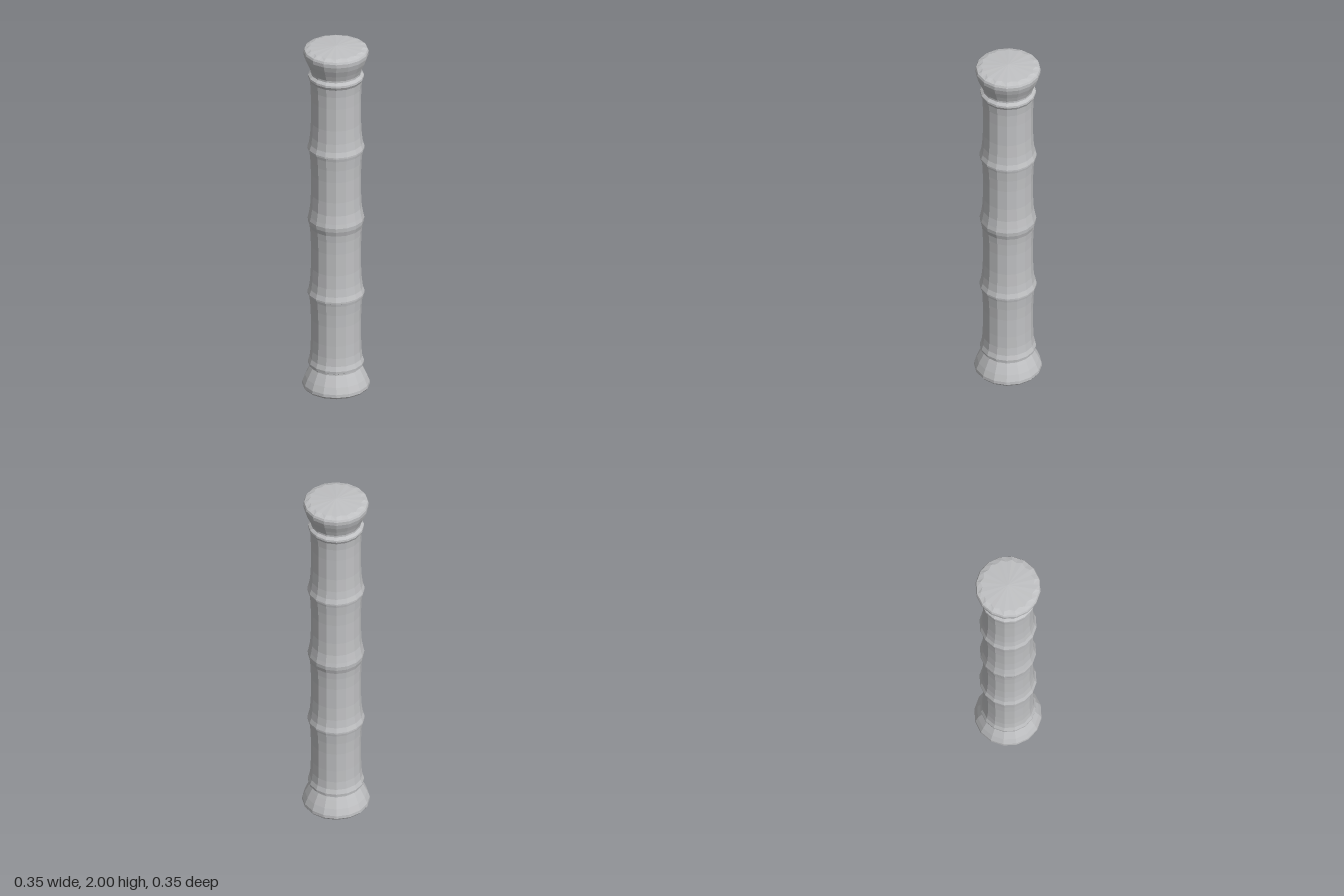
import * as THREE from 'three';

const SIDES = 16;

// Faceted turning: odd columns sit on the chord of a 16-sided outline; ring "zig" is scalloped
function turned(name, profile, material, zig = -1) {
  const pts = profile.map(([r, y]) => new THREE.Vector2(r, y));
  const geo = new THREE.LatheGeometry(pts, SIDES * 2);
  const pos = geo.attributes.position;
  const chord = Math.cos(Math.PI / SIDES);
  for (let i = 0; i < pos.count; i++) {
    const column = Math.floor(i / pts.length);
    if (column % 2 === 0) continue;
    const k = i % pts.length === zig ? 0.92 : chord;
    pos.setX(i, pos.getX(i) * k);
    pos.setZ(i, pos.getZ(i) * k);
  }
  geo.computeVertexNormals();
  const mesh = new THREE.Mesh(geo, material);
  mesh.name = name;
  return mesh;
}

export function createModel() {
  const group = new THREE.Group();
  group.name = 'segmentedHandle';
  const grey = new THREE.MeshStandardMaterial({ color: 0xc0c1c3, flatShading: true });
  grey.name = 'plain grey';

  // Flared foot with a shallow domed underside
  group.add(turned('foot', [
    [0, 0.0], [0.147, 0.014], [0.17, 0.024], [0.177, 0.034], [0.176, 0.05],
    [0.162, 0.085], [0.142, 0.125], [0.133, 0.142], [0.133, 0.15],
  ], grey, 1));

  // Shaft with swollen joints
  const shaft = [[0.133, 0.15], [0.146, 0.157], [0.147, 0.17], [0.138, 0.195], [0.133, 0.24], [0.131, 0.31]];
  for (const y of [0.57, 0.995, 1.413]) {
    const middle = y === 0.995;
    shaft.push([0.131, y - 0.15], [0.134, y - 0.08]);
    if (middle) shaft.push([0.138, y - 0.04], [0.146, y - 0.014], [0.148, y + 0.008], [0.143, y + 0.03]);
    else shaft.push([0.139, y - 0.025], [0.142, y - 0.009], [0.15, y - 0.005], [0.15, y + 0.004], [0.141, y + 0.03]);
    shaft.push([0.135, y + 0.075], [0.131, y + 0.15]);
  }
  shaft.push([0.131, 1.69], [0.133, 1.76], [0.138, 1.805], [0.147, 1.822], [0.146, 1.833], [0.133, 1.846]);
  group.add(turned('shaft', shaft, grey));

  // Flared head with a scalloped, slightly domed top
  group.add(turned('head', [
    [0.133, 1.846], [0.133, 1.856], [0.144, 1.885], [0.16, 1.92], [0.17, 1.95],
    [0.171, 1.97], [0.166, 1.981], [0.145, 1.99], [0, 2.0],
  ], grey, 7));

  return group;
}
